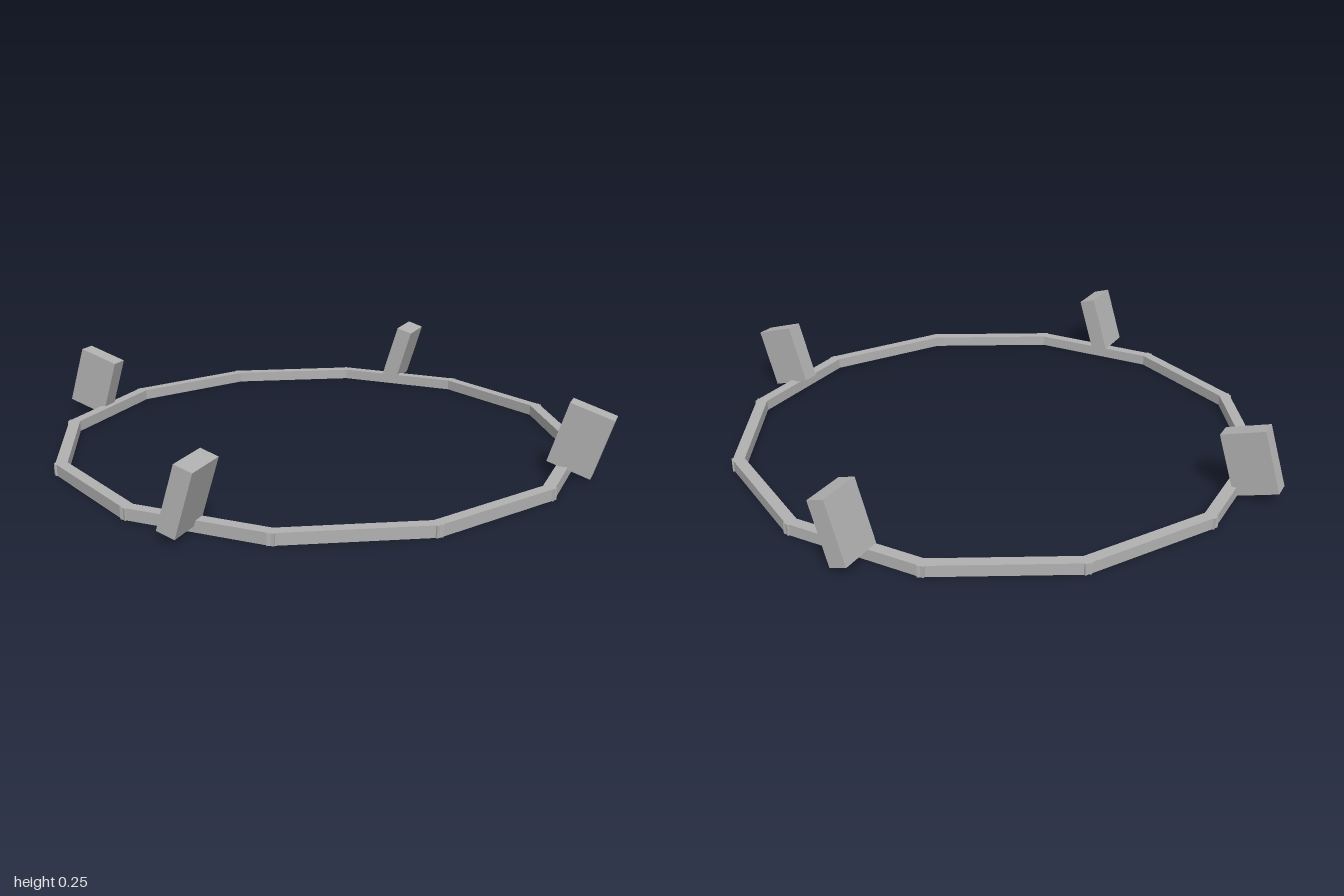
import * as THREE from 'three';

export function createModel() {
  const model = new THREE.Group();
  const grey = new THREE.MeshStandardMaterial({ color: 0xb0b0b0 });
  grey.name = 'plain grey';

  // Ring: twelve straight bars whose ends overlap slightly at the corners
  const ring = new THREE.Group();
  ring.name = 'ring';
  const barGeometry = new THREE.BoxGeometry(0.484, 0.037, 0.038);
  for (let i = 0; i < 12; i++) {
    const angle = (i * Math.PI) / 6;
    const bar = new THREE.Mesh(barGeometry, grey);
    bar.name = 'ringBar';
    bar.position.set(Math.sin(angle) * 0.846, 0.0195, Math.cos(angle) * 0.846);
    bar.rotation.y = angle;
    ring.add(bar);
  }
  model.add(ring);

  // Paddles: four upright blocks, all leaning the same way towards +x
  const addPaddle = (name, x, z, width, depth) => {
    const paddle = new THREE.Mesh(new THREE.BoxGeometry(width, 0.208, depth), grey);
    paddle.name = name;
    paddle.position.set(x, 0.128, z);
    paddle.rotation.z = -0.3;
    model.add(paddle);
  };
  for (const side of [1, -1]) {
    addPaddle(side > 0 ? 'leftPaddle' : 'rightPaddle', side * 0.897, 0, 0.146, 0.06);
    addPaddle(side > 0 ? 'frontPaddle' : 'backPaddle', 0, side * 0.897, 0.06, 0.146);
  }

  return model;
}
